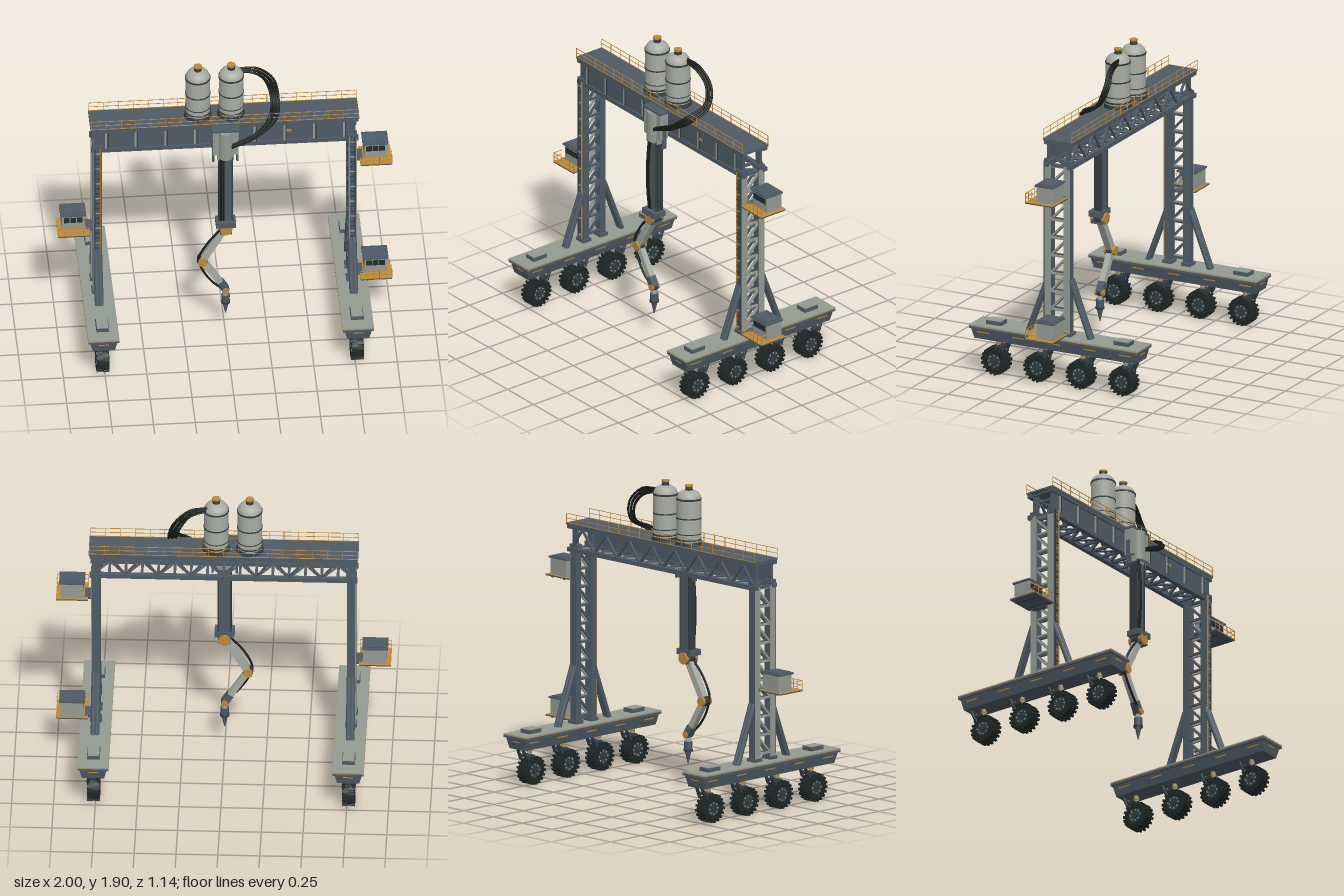
import * as THREE from 'three';

const mat = (name, color) => {
  const m = new THREE.MeshStandardMaterial({ color });
  m.name = name;
  return m;
};
const slate = mat('slate steel', 0x4f5b66);
const pale = mat('pale panel', 0x949b93);
const tankGrey = mat('tank grey', 0xa9aca4);
const orange = mat('safety orange', 0xbf8a34);
const rubber = mat('tyre rubber', 0x1e2826);
const dark = mat('dark steel', 0x323c40);
const hoseBlack = mat('hose black', 0x171d1b);
const glass = mat('window glass', 0x232d2f);

const V = (x, y, z) => new THREE.Vector3(x, y, z);

function add(parent, name, geo, material, x = 0, y = 0, z = 0) {
  const m = new THREE.Mesh(geo, material);
  m.name = name;
  m.position.set(x, y, z);
  parent.add(m);
  return m;
}
const box = (p, name, m, w, h, d, x, y, z) => add(p, name, new THREE.BoxGeometry(w, h, d), m, x, y, z);
const cyl = (p, name, m, r1, r2, h, x, y, z, seg = 20) => add(p, name, new THREE.CylinderGeometry(r1, r2, h, seg), m, x, y, z);

// straight bar between two points, round or square
function bar(p, name, m, a, b, r, seg = 4) {
  const mesh = cyl(p, name, m, r, r, a.distanceTo(b), 0, 0, 0, seg);
  mesh.position.copy(a).add(b).multiplyScalar(0.5);
  mesh.quaternion.setFromUnitVectors(V(0, 1, 0), b.clone().sub(a).normalize());
  if (seg === 4) {
    mesh.geometry.rotateY(Math.PI / 4);
    mesh.geometry = mesh.geometry.toNonIndexed();
    mesh.geometry.computeVertexNormals();
  }
  return mesh;
}
const hose = (p, name, pts, r) =>
  add(p, name, new THREE.TubeGeometry(new THREE.CatmullRomCurve3(pts), 40, r, 7), hoseBlack);

function group(parent, name, x = 0, y = 0, z = 0) {
  const g = new THREE.Group();
  g.name = name;
  g.position.set(x, y, z);
  parent.add(g);
  return g;
}

// wheel with lugs and hub, axle along x, plus its suspension struts
function wheel(parent, x, z) {
  const g = group(parent, 'wheel', x, 0.088, z);
  const pts = [[0.045, -0.034], [0.072, -0.038], [0.081, -0.028], [0.082, 0.028], [0.072, 0.038], [0.045, 0.034]]
    .map(([r, y]) => new THREE.Vector2(r, y));
  add(g, 'tyre', new THREE.LatheGeometry(pts, 24), rubber).rotation.z = Math.PI / 2;
  for (let i = 0; i < 18; i++) for (const e of [-1, 1]) {
    const a = ((i + e * 0.25) / 18) * Math.PI * 2;
    const lug = box(g, 'treadLug', rubber, 0.036, 0.012, 0.014, e * 0.02, Math.cos(a) * 0.081, Math.sin(a) * 0.081);
    lug.rotation.x = a;
  }
  cyl(g, 'hub', dark, 0.047, 0.047, 0.06, 0, 0, 0).rotation.z = Math.PI / 2;
  for (const e of [-1, 1]) {
    cyl(g, 'hubCap', dark, 0.016, 0.016, 0.01, e * 0.034, 0, 0, 12).rotation.z = Math.PI / 2;
    for (let i = 0; i < 8; i++) {
      const a = (i / 8) * Math.PI * 2;
      box(g, 'hubBolt', pale, 0.006, 0.007, 0.007, e * 0.032, Math.cos(a) * 0.034, Math.sin(a) * 0.034);
    }
  }
  bar(g, 'strut', pale, V(0, 0.08, -0.01), V(0, 0.145, -0.018), 0.014, 10);
  cyl(g, 'strutCollar', orange, 0.018, 0.018, 0.012, 0, 0.118, -0.015, 10);
  for (const e of [-1, 1]) bar(g, 'forkArm', dark, V(e * 0.033, 0.07, -0.055), V(e * 0.02, 0.145, -0.095), 0.01, 8);
  box(g, 'forkBridge', dark, 0.076, 0.014, 0.05, 0, 0.092, -0.035);
}

function bogie(parent, s) {
  const g = group(parent, 'bogie', s * 0.762);
  // tapered hull with a wide rim on top
  const hull = new THREE.BoxGeometry(0.165, 0.07, 1.12);
  const p = hull.attributes.position;
  for (let i = 0; i < p.count; i++) if (p.getY(i) < 0) p.setXYZ(i, p.getX(i) * 0.8, p.getY(i), p.getZ(i) * 0.975);
  hull.computeVertexNormals();
  add(g, 'bogieHull', hull, slate, 0, 0.262, 0);
  box(g, 'bogieRim', slate, 0.186, 0.014, 1.136, 0, 0.301, 0);
  box(g, 'edgeStripe', orange, 0.188, 0.003, 1.138, 0, 0.3085, 0);
  box(g, 'bogieDeck', pale, 0.186, 0.006, 1.136, 0, 0.313, 0);
  for (const e of [-1, 1]) {
    box(g, 'hatchBox', slate, 0.076, 0.024, 0.1, 0, 0.327, e * 0.43);
    box(g, 'hatchLid', pale, 0.068, 0.004, 0.092, 0, 0.341, e * 0.43);
    for (let i = -2; i <= 2; i++) {
      const dash = box(g, 'sideDash', orange, 0.004, 0.008, 0.08, e * 0.0765, 0.272, i * 0.24);
      dash.rotation.z = -e * 0.23;
    }
    box(g, 'endDash', orange, 0.06, 0.006, 0.004, 0, 0.275, e * 0.556);
    // leg braces
    for (const x of [-0.011, 0.011]) bar(g, 'brace', slate, V(x, 0.31, e * 0.21), V(x, 0.67, e * 0.075), 0.016, 10);
  }
  for (const z of [0.43, 0.143, -0.143, -0.43]) wheel(g, 0, z);
}

function leg(parent, s) {
  const g = group(parent, 'leg', s * 0.762);
  const cols = [0.07, -0.057];
  for (const z of cols) {
    box(g, 'legColumn', slate, 0.05, 1.08, 0.042, 0, 0.855, z);
    box(g, 'outerPlate', pale, 0.005, 1.07, 0.042, s * 0.0265, 0.855, z);
    box(g, 'columnCap', slate, 0.06, 0.03, 0.048, 0, 1.395, z);
    box(g, 'topPost', slate, 0.04, 0.13, 0.018, 0, 1.465, z);
    box(g, 'columnFoot', slate, 0.07, 0.02, 0.06, 0, 0.325, z);
  }
  // lattice on the inner and outer faces
  for (const e of [-1, 1]) for (let i = 0; i <= 9; i++) {
    const y = 0.36 + i * 0.112, x = e * 0.016, m = e === s ? pale : slate;
    box(g, 'latticeBar', m, 0.012, 0.012, 0.1, x, y, 0.0065);
    if (i < 9) bar(g, 'latticeDiagonal', m, V(x, y, 0.055), V(x, y + 0.1, -0.04), 0.009);
  }
  // front ladder
  for (const x of [-0.017, 0.017]) box(g, 'ladderRail', x * s < 0 ? orange : dark, 0.005, 1.05, 0.006, x, 0.87, 0.098);
  for (let i = 0; i < 28; i++) box(g, 'ladderRung', i % 3 ? dark : pale, 0.034, 0.005, 0.005, 0, 0.36 + i * 0.037, 0.097);
}

// railing along x with posts
function railing(p, x0, x1, y, z, h, n) {
  for (const k of [0.5, 1]) box(p, 'handrail', orange, x1 - x0, 0.003, 0.003, (x0 + x1) / 2, y + h * k, z);
  for (let i = 0; i <= n; i++) box(p, 'railPost', orange, 0.003, h, 0.003, x0 + ((x1 - x0) * i) / n, y + h / 2, z);
}

function cabin(parent, s, y) {
  const g = group(parent, 'cabin', s * 0.905, y, 0);
  box(g, 'platform', slate, 0.19, 0.01, 0.185, 0, 0.005, 0.018);
  box(g, 'platformEdge', orange, 0.191, 0.003, 0.186, 0, 0.009, 0.018);
  box(g, 'cabinBody', pale, 0.135, 0.1, 0.11, 0, 0.06, -0.008);
  box(g, 'cabinRoof', slate, 0.155, 0.01, 0.125, 0, 0.115, -0.006);
  box(g, 'roofPanel', slate, 0.125, 0.006, 0.1, 0, 0.123, -0.006);
  for (let i = -1; i <= 1; i++) box(g, 'frontWindow', glass, 0.034, 0.036, 0.004, i * 0.039, 0.08, 0.048);
  box(g, 'sideWindow', glass, 0.004, 0.034, 0.05, -s * 0.068, 0.08, -0.005);
  railing(g, -0.094, 0.094, 0.01, 0.109, 0.055, 5);
  for (const k of [0.5, 1]) box(g, 'sideHandrail', orange, 0.003, 0.003, 0.06, s * 0.094, 0.01 + 0.055 * k, 0.08);
  for (const x of [-0.05, 0.05]) box(g, 'supportBeam', dark, 0.012, 0.008, 0.17, x, -0.003, 0.018);
  box(g, 'mountArm', slate, 0.05, 0.014, 0.1, -s * 0.1, 0.004, 0.0);
}

function bridge(parent) {
  const g = group(parent, 'bridge');
  box(g, 'deck', slate, 1.61, 0.012, 0.19, 0, 1.534, -0.002);
  for (const z of [0.076, -0.078]) {
    box(g, 'topChord', slate, 1.6, 0.022, 0.03, 0, 1.517, z);
    box(g, 'bottomChord', slate, 1.6, 0.026, 0.03, 0, 1.378, z);
  }
  for (const z of [0.094, -0.098]) {
    box(g, 'deckEdge', orange, 1.61, 0.004, 0.003, 0, 1.541, z);
    railing(g, -0.8, 0.8, 1.54, z, 0.058, 18);
  }
  // front web panel with stiffeners
  box(g, 'webPanel', slate, 1.56, 0.13, 0.01, 0, 1.447, 0.076);
  for (let i = -4; i <= 4; i++) {
    box(g, 'stiffener', pale, 0.012, 0.115, 0.006, i * 0.178, 1.448, 0.083);
    box(g, 'stiffenerRib', dark, 0.006, 0.115, 0.008, i * 0.178 + 0.011, 1.448, 0.083);
  }
  box(g, 'warningPlate', orange, 0.035, 0.014, 0.005, 0.38, 1.46, 0.083);
  // rear truss and floor lattice
  const n = 16, w = 1.56 / n;
  for (let i = 0; i <= n; i++) {
    const x = -0.78 + i * w, up = i % 2;
    box(g, 'crossTie', slate, 0.016, 0.016, 0.15, x, 1.376, 0);
    box(g, 'deckTie', slate, 0.016, 0.014, 0.15, x, 1.52, 0);
    if (i === n) break;
    bar(g, 'rearDiagonal', slate, V(x, up ? 1.51 : 1.385, -0.078), V(x + w, up ? 1.385 : 1.51, -0.078), 0.009);
    bar(g, 'floorDiagonal', slate, V(x, 1.376, up ? 0.07 : -0.07), V(x + w, 1.376, up ? -0.07 : 0.07), 0.007);
  }
}

function tank(parent, x) {
  const g = group(parent, 'tank', x, 1.54, -0.01);
  cyl(g, 'tankBase', dark, 0.08, 0.084, 0.022, 0, 0.011, 0, 28);
  const pts = [[0.074, 0.02], [0.074, 0.28], [0.07, 0.3], [0.058, 0.318], [0.038, 0.33], [0.0, 0.336]].map(([r, y]) => new THREE.Vector2(r, y));
  add(g, 'tankShell', new THREE.LatheGeometry(pts, 28), tankGrey);
  for (const [y, h] of [[0.035, 0.01], [0.07, 0.005], [0.165, 0.008], [0.28, 0.01]]) cyl(g, 'tankBand', dark, 0.0765, 0.0765, h, 0, y, 0, 28);
  cyl(g, 'tankNeck', dark, 0.02, 0.024, 0.028, 0, 0.342, 0);
  cyl(g, 'tankCap', orange, 0.025, 0.025, 0.009, 0, 0.36, 0);
}

function manipulator(parent) {
  const g = group(parent, 'manipulator');
  // trolley on the beam face
  box(g, 'trolleyHousing', pale, 0.155, 0.17, 0.06, 0, 1.435, 0.122);
  box(g, 'trolleyTop', slate, 0.165, 0.012, 0.07, 0, 1.524, 0.122);
  box(g, 'trolleyChin', pale, 0.1, 0.05, 0.055, 0, 1.335, 0.125);
  cyl(g, 'trolleyNose', pale, 0.045, 0.045, 0.19, 0, 1.42, 0.135);
  for (const e of [-1, 1]) box(g, 'guideRail', slate, 0.014, 0.16, 0.03, e * 0.072, 1.365, 0.118);
  // mast and its collar
  box(g, 'mast', slate, 0.08, 0.48, 0.046, 0, 1.09, 0.128);
  for (const e of [-1, 1]) box(g, 'mastEdge', dark, 0.008, 0.48, 0.052, e * 0.038, 1.09, 0.128);
  box(g, 'mastCollar', slate, 0.12, 0.035, 0.085, 0, 0.84, 0.14);
  box(g, 'shoulderYoke', slate, 0.07, 0.055, 0.08, 0, 0.8, 0.14);
  // jointed arm
  const a = V(0, 0.805, 0.135), b = V(-0.14, 0.56, 0.135), c = V(0, 0.335, 0.135);
  const joint = (name, p, r, d) => {
    cyl(g, name, orange, r, r, d, p.x, p.y, p.z, 24).rotation.x = Math.PI / 2;
    cyl(g, name + 'Ring', dark, r * 1.1, r * 1.1, d * 0.5, p.x, p.y, p.z, 24).rotation.x = Math.PI / 2;
  };
  joint('shoulderJoint', a, 0.036, 0.095);
  joint('elbowJoint', b, 0.028, 0.07);
  joint('wristJoint', c, 0.02, 0.056);
  bar(g, 'upperArm', tankGrey, a, b, 0.03);
  bar(g, 'forearm', tankGrey, b, c, 0.026);
  bar(g, 'forearmCuff', slate, V(-0.035, 0.39, 0.135), c, 0.031);
  hose(g, 'upperArmHose', [V(-0.03, 0.79, 0.15), V(-0.1, 0.71, 0.155), V(-0.16, 0.6, 0.155), V(-0.165, 0.555, 0.15)], 0.007);
  hose(g, 'forearmHose', [V(-0.165, 0.555, 0.15), V(-0.125, 0.47, 0.155), V(-0.07, 0.395, 0.155), V(-0.02, 0.35, 0.15)], 0.007);
  // tool head
  cyl(g, 'toolNeck', tankGrey, 0.016, 0.016, 0.05, 0, 0.305, 0.135);
  cyl(g, 'toolBody', slate, 0.026, 0.024, 0.05, 0, 0.268, 0.135);
  cyl(g, 'toolRing', dark, 0.028, 0.028, 0.012, 0, 0.24, 0.135);
  cyl(g, 'toolTip', slate, 0.02, 0.003, 0.078, 0, 0.196, 0.135);
  // hoses from tank to trolley, and down the mast
  for (let i = 0; i < 5; i++) {
    const t = i * 0.011 - 0.022, u = (i % 2) * 0.012;
    hose(g, 'supplyHose', [V(0.09, 1.84 + t * 0.4, -0.04 + u), V(0.2, 1.815 + t, -0.05 + u), V(0.28 + t, 1.73 + t * 0.5, -0.06 + u),
      V(0.308 + t, 1.62, -0.02 + u), V(0.285 + t, 1.56 - t * 0.4, 0.09 + u), V(0.18, 1.48 - t * 0.6, 0.145 + u), V(0.035, 1.415 - t * 0.3, 0.155 + u)], 0.007);
  }
  for (const x of [-0.03, -0.014]) hose(g, 'mastHose', [V(x, 1.34, 0.15), V(x, 1.22, 0.163), V(x, 1.08, 0.168), V(x, 0.95, 0.162), V(x, 0.85, 0.15)], 0.006);
}

export function createModel() {
  const model = new THREE.Group();
  model.name = 'gantryRig';
  for (const s of [-1, 1]) {
    bogie(model, s);
    leg(model, s);
  }
  bridge(model);
  tank(model, -0.155);
  tank(model, 0.045);
  manipulator(model);
  cabin(model, -1, 0.755);
  cabin(model, 1, 1.185);
  cabin(model, 1, 0.328);
  return model;
}
